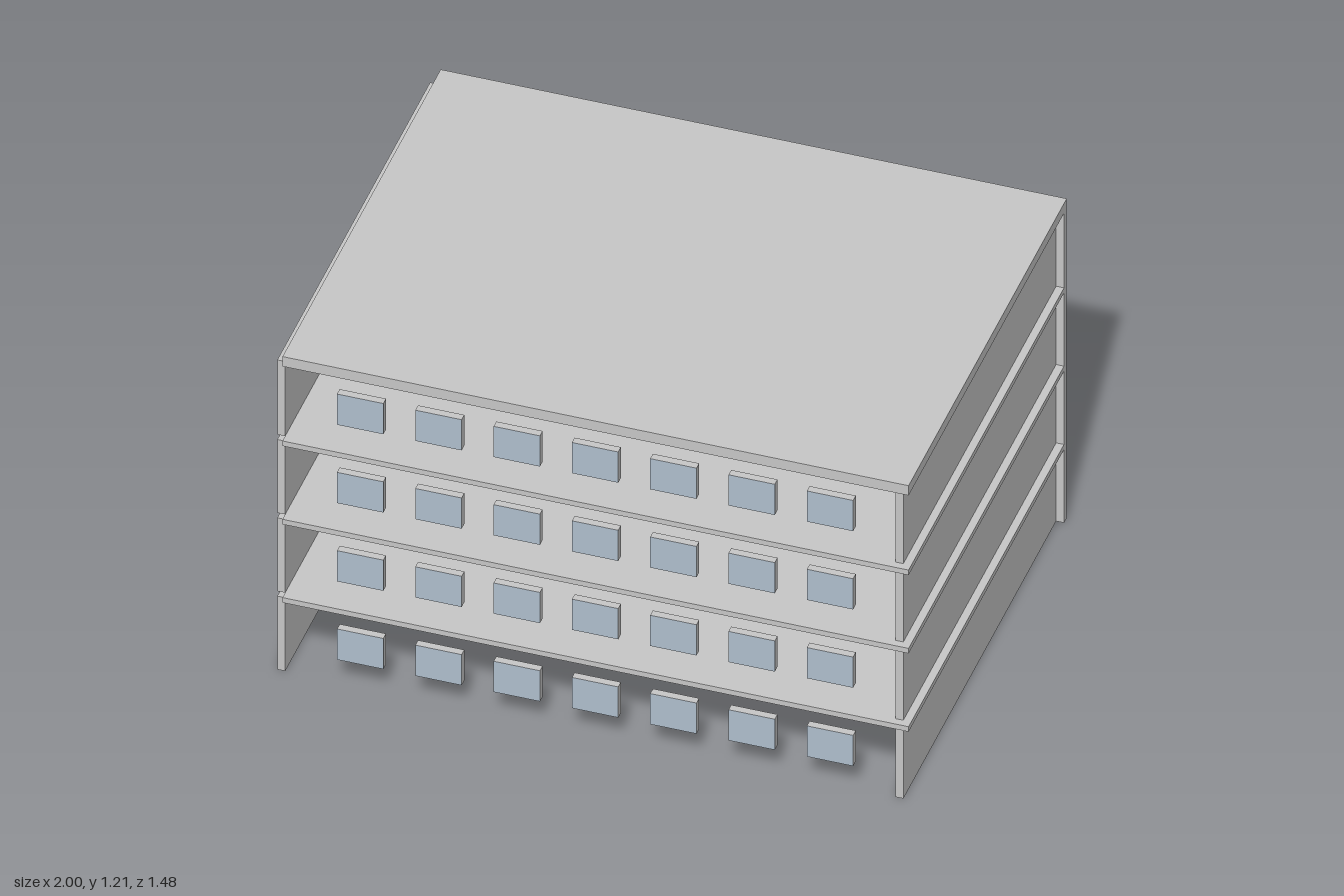
import * as THREE from 'three';

export function createModel() {
  const building = new THREE.Group();
  building.name = 'building';

  const concrete = new THREE.MeshStandardMaterial({ color: 0xc8c8c8 });
  concrete.name = 'concrete grey';
  const glass = new THREE.MeshStandardMaterial({ color: 0xb0bfcd });
  glass.name = 'pale blue glass';

  // Box given by its lower and upper corners
  function addBox(parent, name, [x0, y0, z0], [x1, y1, z1], material = concrete) {
    const mesh = new THREE.Mesh(new THREE.BoxGeometry(x1 - x0, y1 - y0, z1 - z0), material);
    mesh.position.set((x0 + x1) / 2, (y0 + y1) / 2, (z0 + z1) / 2);
    mesh.name = name;
    parent.add(mesh);
  }

  const STOREYS = 4, PITCH = 0.296, CLEAR = 0.277;
  const LEFT = -0.975, RIGHT = 1, DEPTH = 0.74, T = 0.025;
  const TOP = 1.207, ROOF_BASE = 3 * PITCH + CLEAR + 0.005;

  // Glass on the front and back faces, grey on the four edges
  const windowMaterials = [concrete, concrete, concrete, concrete, glass, glass];

  for (let s = 0; s < STOREYS; s++) {
    const storey = new THREE.Group();
    storey.name = `storey${s + 1}`;
    const y = s * PITCH;
    const last = s === STOREYS - 1;
    const ceiling = last ? ROOF_BASE : y + CLEAR;

    // Side walls: one stands outside the slabs, the other is set in from their edge
    const wallZ = DEPTH - T;
    addBox(storey, 'rightWall', [LEFT - T, y, -wallZ], [LEFT, ceiling, wallZ]);
    addBox(storey, 'leftWall', [RIGHT - 2 * T, y, -wallZ], [RIGHT - T, ceiling, wallZ]);

    // Slab over the storey; the top one is the thicker roof
    addBox(storey, last ? 'roof' : 'floorSlab',
      [LEFT, ceiling, -DEPTH + T], [RIGHT, last ? TOP : y + PITCH, DEPTH]);

    // Two rows of three square columns
    for (const z of [-0.284, 0.21]) {
      for (let c = 1; c <= 3; c++) {
        const x = LEFT + c * 0.494;
        addBox(storey, 'column', [x, y, z], [x + 0.037, ceiling, z + 0.037]);
      }
    }

    // Row of windows along the open front
    for (let w = 0; w < 7; w++) {
      const x = -0.803 + w * 0.247;
      addBox(storey, 'window', [x, y + 0.104, wallZ], [x + 0.146, y + 0.22, DEPTH], windowMaterials);
    }
    building.add(storey);
  }

  // Full-height back wall
  addBox(building, 'backWall', [LEFT, 0, -DEPTH], [RIGHT, TOP, -DEPTH + T]);

  return building;
}
